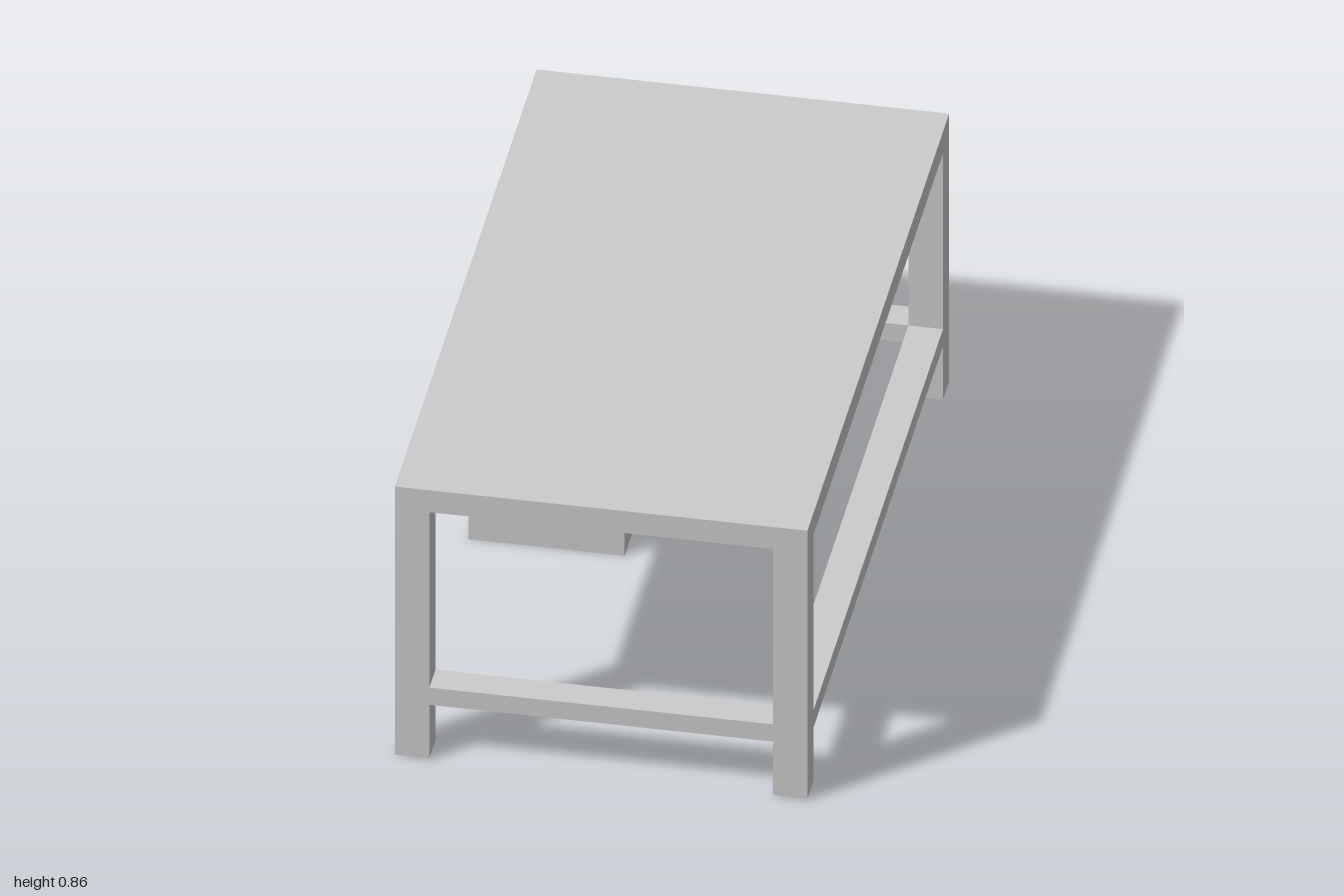
import * as THREE from 'three';

const material = new THREE.MeshStandardMaterial({ color: 0xcccccc, flatShading: true });

// Box given by its minimum and maximum corners
function box(parent, name, [x0, y0, z0], [x1, y1, z1]) {
  const mesh = new THREE.Mesh(new THREE.BoxGeometry(x1 - x0, y1 - y0, z1 - z0), material);
  mesh.position.set((x0 + x1) / 2, (y0 + y1) / 2, (z0 + z1) / 2);
  mesh.name = name;
  parent.add(mesh);
  return mesh;
}

export function createModel() {
  const desk = new THREE.Group();
  desk.name = 'desk';

  const X = 0.555, Z = 1, legX = 0.093, legZ = 0.087;
  const under = 0.79, top = 0.86, railLow = 0.175, railHigh = 0.23;

  // Desktop slab
  box(desk, 'desktop', [-X, under, -Z], [X, top, Z]);

  // Four square legs
  for (const x of [-X, X - legX]) {
    for (const z of [-Z, Z - legZ]) {
      box(desk, 'leg', [x, 0.005, z], [x + legX, under, z + legZ]);
    }
  }

  // Stretchers at both ends and along the left side
  for (const z of [-Z, Z - legZ]) {
    box(desk, 'endStretcher', [-X + legX, railLow, z], [X - legX, railHigh, z + legZ]);
  }
  box(desk, 'sideStretcher', [X - legX, railLow, -Z + legZ], [X, railHigh, Z - legZ]);

  // Drawer pedestal: carcass with a thin frame around the drawer opening
  const pedestal = new THREE.Group();
  pedestal.name = 'drawerPedestal';
  desk.add(pedestal);
  const z0 = -0.585, z1 = -0.04, frame = 0.012, recess = -0.543;
  box(pedestal, 'carcass', [recess, 0, z0], [-0.135, under, z1]);
  box(pedestal, 'frameSide', [-X, 0, z0], [recess, under, z0 + frame]);
  box(pedestal, 'frameSide', [-X, 0, z1 - frame], [recess, under, z1]);
  box(pedestal, 'plinth', [-X, 0, z0 + frame], [recess, 0.035, z1 - frame]);

  // Six drawer fronts, each with a long slim pull
  const pitch = 0.125;
  for (let i = 0; i < 6; i++) {
    const mid = 0.0985 + i * pitch;
    box(pedestal, 'drawerFront', [-0.553, mid - 0.056, z0 + 0.018], [recess, mid + 0.056, z1 - 0.018]);
    box(pedestal, 'drawerPull', [-0.56, mid - 0.008, -0.56], [-0.553, mid + 0.008, -0.065]);
  }

  return desk;
}
